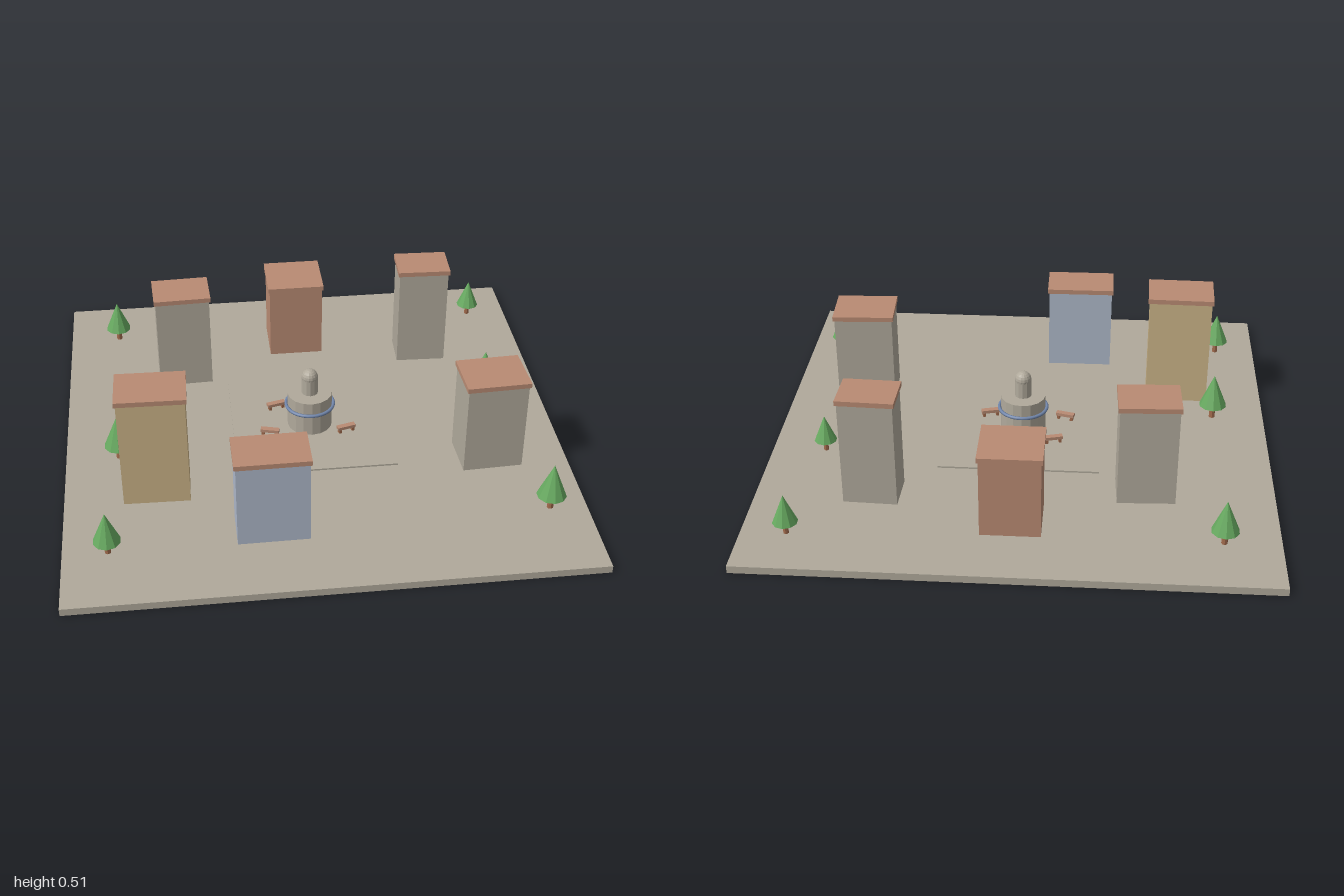
import * as THREE from 'three';

const mat = (name, color) => {
  const m = new THREE.MeshStandardMaterial({ color });
  m.name = name;
  return m;
};

export function createModel() {
  const stone = mat('stone', 0xb0a99b);
  const ochre = mat('ochre plaster', 0xcab387);
  const blue = mat('pale blue plaster', 0xaeb8c9);
  const brick = mat('terracotta', 0xb98b73);
  const wood = mat('wood', 0xa06a4c);
  const leaf = mat('foliage', 0x67aa60);
  const water = mat('blue ring', 0x7186ab);

  const town = new THREE.Group();
  town.name = 'townSquare';

  const add = (parent, name, geometry, material, x, y, z) => {
    const mesh = new THREE.Mesh(geometry, material);
    mesh.name = name;
    mesh.position.set(x, y, z);
    parent.add(mesh);
    return mesh;
  };
  const box = (w, h, d) => new THREE.BoxGeometry(w, h, d);
  // Faceted geometry for the low-poly round parts
  const faceted = (geometry) => {
    const g = geometry.index ? geometry.toNonIndexed() : geometry;
    g.computeVertexNormals();
    return g;
  };
  const group = (name, x, z, turn = 0) => {
    const g = new THREE.Group();
    g.name = name;
    g.position.set(x, 0, z);
    g.rotation.y = turn;
    town.add(g);
    return g;
  };

  // Ground and the slightly raised plaza
  const GROUND = 0.03;
  add(town, 'ground', box(2, GROUND, 2), stone, 0, GROUND / 2, 0);
  add(town, 'plaza', box(0.64, 0.007, 0.64), stone, 0, GROUND + 0.0035, 0);

  // Houses: x, z, roof width, roof depth, top height, turn, wall material
  const houses = [
    [-0.5, -0.43, 0.237, 0.178, 0.455, 0.04, stone],
    [0, -0.645, 0.242, 0.23, 0.37, 0, brick],
    [0.545, -0.5, 0.222, 0.17, 0.48, -0.035, stone],
    [-0.215, 0.642, 0.286, 0.18, 0.4, 0.008, blue],
    [-0.64, 0.357, 0.27, 0.193, 0.51, -0.022, ochre],
    [0.687, 0.285, 0.252, 0.203, 0.427, 0.045, stone],
  ];
  const ROOF = 0.02;
  for (const [x, z, w, d, top, turn, wall] of houses) {
    const house = group('house', x, z, turn);
    const h = top - ROOF - GROUND;
    add(house, 'walls', box(w - 0.013, h, d - 0.013), wall, 0, GROUND + h / 2, 0);
    add(house, 'roof', box(w, ROOF, d), brick, 0, top - ROOF / 2, 0);
  }

  // Fountain: drum, ring, column and ball
  const fountain = group('fountain', 0, 0);
  add(fountain, 'drum', faceted(new THREE.CylinderGeometry(0.092, 0.092, 0.155, 16)), stone, 0, 0.1125, 0);
  add(fountain, 'ring', new THREE.TorusGeometry(0.098, 0.007, 8, 32), water, 0, 0.135, 0).rotation.x = Math.PI / 2;
  add(fountain, 'column', faceted(new THREE.CylinderGeometry(0.033, 0.034, 0.076, 12)), stone, 0, 0.227, 0);
  add(fountain, 'ball', faceted(new THREE.SphereGeometry(0.034, 14, 10)), stone, 0, 0.265, 0);

  // Benches around the fountain
  const benches = [
    [-0.13, -0.113, 0.26], [0.056, -0.157, -0.26],
    [-0.172, 0.07, -0.26], [0.142, 0.08, 0.26],
  ];
  for (const [x, z, turn] of benches) {
    const bench = group('bench', x, z, turn);
    add(bench, 'seat', box(0.076, 0.013, 0.023), brick, 0, 0.06, 0);
    for (const side of [-1, 1]) {
      add(bench, 'benchLeg', box(0.011, 0.026, 0.018), wood, side * 0.028, 0.042, 0);
    }
  }

  // Conifers: x, z, scale
  const trees = [
    [-0.787, -0.745, 0.92], [0.828, -0.785, 0.83], [0.785, -0.215, 0.78],
    [-0.787, 0.142, 0.98], [-0.83, 0.715, 0.91], [0.857, 0.643, 1],
  ];
  const trunkGeometry = faceted(new THREE.CylinderGeometry(0.01, 0.013, 0.07, 8));
  const crownGeometry = faceted(new THREE.ConeGeometry(0.058, 0.14, 10));
  for (const [x, z, s] of trees) {
    const tree = group('tree', x, z);
    tree.position.y = GROUND;
    tree.scale.setScalar(s);
    add(tree, 'trunk', trunkGeometry, wood, 0, 0.035, 0);
    add(tree, 'crown', crownGeometry, leaf, 0, 0.13, 0);
  }
  return town;
}
